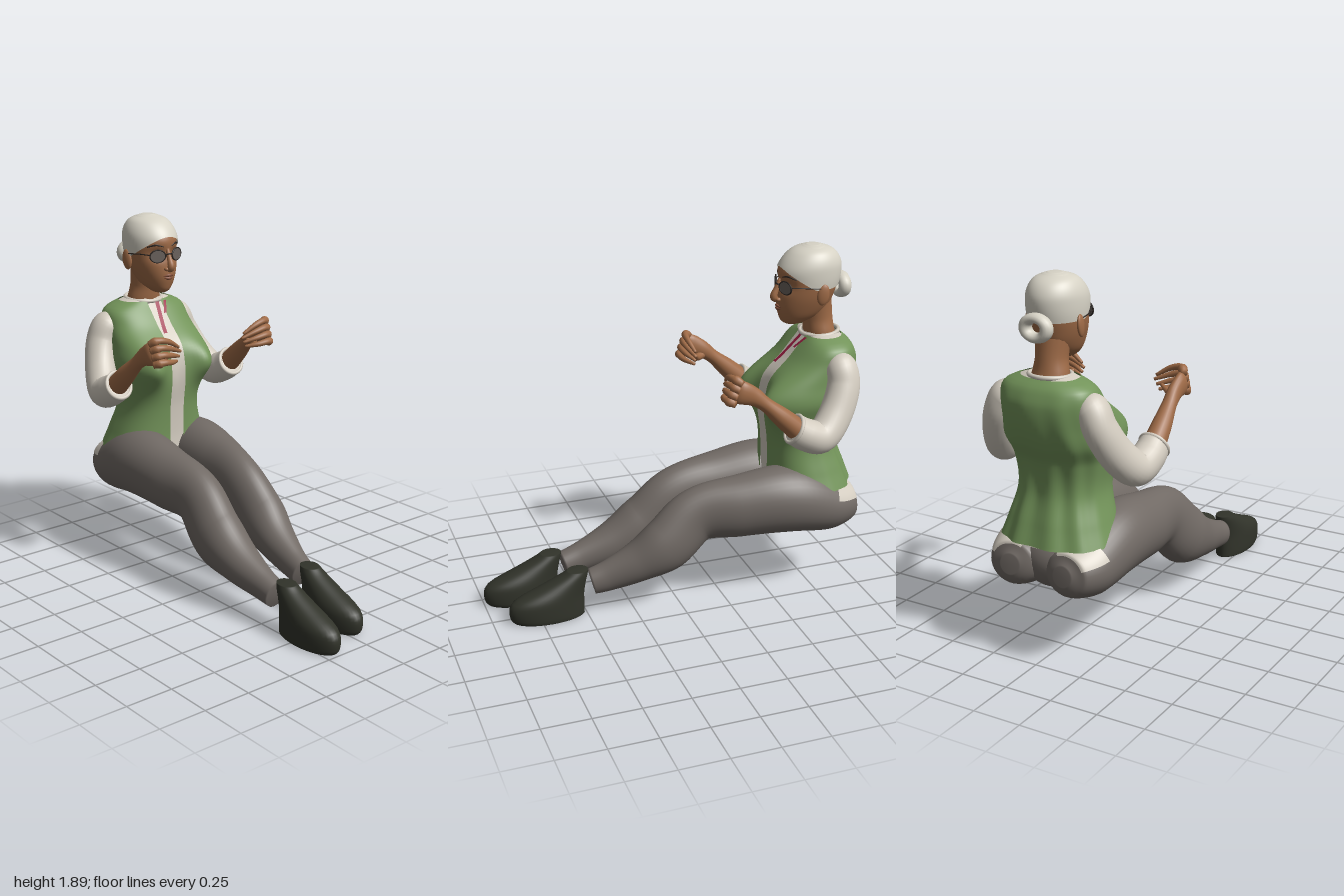
import * as THREE from 'three';
import { mergeVertices } from 'three/addons/utils/BufferGeometryUtils.js';

const mat = (name, color, side = THREE.FrontSide) => {
  const m = new THREE.MeshStandardMaterial({ color, side });
  m.name = name;
  return m;
};

// Grid surface from fn(u, v); shared corners are welded so shading stays smooth
function surface(fn, nu, nv) {
  const pos = [], idx = [];
  for (let j = 0; j <= nv; j++) for (let i = 0; i <= nu; i++) pos.push(...fn(i / nu, j / nv));
  for (let j = 0; j < nv; j++) for (let i = 0; i < nu; i++) {
    const a = j * (nu + 1) + i, b = a + 1, c = a + nu + 1, d = c + 1;
    idx.push(a, b, d, a, d, c);
  }
  let g = new THREE.BufferGeometry();
  g.setAttribute('position', new THREE.Float32BufferAttribute(pos, 3));
  g.setIndex(idx);
  g = mergeVertices(g, 1e-5);
  g.computeVertexNormals();
  return g;
}

// Smooth lookup in rows of [y, zBack, zFront, halfWidth]
function sample(tab, y) {
  let i = 0;
  while (i < tab.length - 2 && y > tab[i + 1][0]) i++;
  const h = tab[i + 1][0] - tab[i][0], t = Math.min(1, Math.max(0, (y - tab[i][0]) / h));
  const slope = (j, k) => {
    const p = tab[Math.max(0, j - 1)], q = tab[Math.min(tab.length - 1, j + 1)];
    return (q[k] - p[k]) / (q[0] - p[0]);
  };
  const t2 = t * t, t3 = t2 * t;
  return [1, 2, 3].map(k => (2 * t3 - 3 * t2 + 1) * tab[i][k] + (t3 - 2 * t2 + t) * h * slope(i, k)
    + (3 * t2 - 2 * t3) * tab[i + 1][k] + (t3 - t2) * h * slope(i + 1, k));
}

// Point on a stack of horizontal rings; angle 0 faces +z
const pw = (s, e) => Math.sign(s) * Math.abs(s) ** e;
function ringPoint(tab, a, y, off = 0, e = 1) {
  const [zb, zf, hw] = sample(tab, y);
  return [(hw + off) * pw(Math.sin(a), e), y, (zb + zf) / 2 + ((zf - zb) / 2 + off) * pw(Math.cos(a), e)];
}
function rings(tab, nu, nv, shape = p => p) {
  const y0 = tab[0][0], y1 = tab[tab.length - 1][0];
  return surface((u, v) => {
    const y = y0 + (y1 - y0) * (1 - Math.cos(Math.PI * v)) / 2;
    if (v > 0 && v < 1) return shape(ringPoint(tab, (u % 1) * Math.PI * 2, y));
    const [zb, zf] = sample(tab, y);
    return [0, y, (zb + zf) / 2];
  }, nu, nv);
}

// Skin of a limb through points [x, y, z, rx, ry]; returns (t, angle, offset) => Vector3
const RIGHT = new THREE.Vector3(1, 0, 0), UP = new THREE.Vector3(0, 1, 0);
function limbSkin(pts, ref) {
  const path = new THREE.CatmullRomCurve3(pts.map(p => new THREE.Vector3(p[0], p[1], p[2])));
  const size = new THREE.CatmullRomCurve3(pts.map(p => new THREE.Vector3(p[3], p[4] ?? p[3], 0)));
  return (t, a, off) => {
    const c = path.getPoint(t), r = size.getPoint(t), T = path.getTangent(t);
    const A = ref.clone().addScaledVector(T, -ref.dot(T)).normalize(), B = T.clone().cross(A);
    return c.addScaledVector(A, (r.x + off) * Math.cos(a)).addScaledVector(B, (r.y + off) * Math.sin(a));
  };
}
// Closed limb: the first and last rows shrink to the centre
function limb(pts, nu = 20, nv = 32, ref = RIGHT) {
  const at = limbSkin(pts, ref);
  return surface((u, v) => {
    const t = Math.min(1, Math.max(0, (v * nv - 1) / (nv - 2)));
    if (v === 0 || v === 1) return pts[v * (pts.length - 1)].slice(0, 3);
    return at(t, (u % 1) * Math.PI * 2, 0).toArray();
  }, nu, nv);
}

const TORSO = [[.6, -.972, -.53, .285], [.7, -.935, -.535, .25], [.85, -.885, -.53, .212], [1, -.895, -.515, .232],
  [1.1, -.945, -.525, .26], [1.2, -.975, -.55, .25], [1.3, -.98, -.64, .24], [1.36, -.96, -.69, .23],
  [1.39, -.94, -.715, .2], [1.41, -.915, -.73, .15], [1.425, -.9, -.74, .1]];
const HEAD = [[1.475, -.72, -.625, .03], [1.49, -.75, -.602, .05], [1.52, -.81, -.588, .078], [1.57, -.86, -.576, .102],
  [1.63, -.885, -.577, .121], [1.7, -.905, -.584, .131], [1.76, -.913, -.582, .132], [1.8, -.908, -.6, .126],
  [1.84, -.885, -.635, .107], [1.865, -.85, -.675, .08], [1.884, -.79, -.74, .025]];
const SHOE = [[0, 0, .385, .086], [.02, 0, .4, .09], [.08, 0, .405, .089], [.12, 0, .375, .085],
  [.18, -.01, .235, .07], [.23, -.022, .125, .055], [.255, -.025, .085, .045]];

// The chest is squarer than the waist and carries a bust
const square = y => .85 - .22 * Math.exp(-(((y - 1.1) / .13) ** 2));
function torsoPoint(a, y, off) {
  const p = ringPoint(TORSO, a, y, off, Math.cos(a) > 0 ? square(y) : .85);
  const bust = .09 * Math.exp(-(((Math.abs(p[0]) - .18) / .09) ** 2) - ((y - 1.1) / .11) ** 2);
  p[2] += bust * Math.max(0, Math.cos(a)) ** .4;
  return p;
}
const frontAngle = (x, y, off) => Math.asin(pw(x / (sample(TORSO, y)[2] + off), 1 / square(y)));

export function createModel() {
  const root = new THREE.Group();
  const skin = mat('skin', 0x9f6b47), hair = mat('hair', 0xd6d2c5, THREE.DoubleSide);
  const shirt = mat('shirt', 0xd2cbbf, THREE.DoubleSide), vest = mat('vest', 0x73945a, THREE.DoubleSide);
  const trousers = mat('trousers', 0x716a65), leather = mat('shoe leather', 0x31332a);
  const ribbon = mat('ribbon', 0x9c1e42, THREE.DoubleSide), frame = mat('dark frame', 0x2b2522);
  const lens = mat('lens', 0x6a625d), lip = mat('lips', 0x85503a);
  const add = (name, geo, m, x = 0, y = 0, z = 0) => {
    const o = new THREE.Mesh(geo, m);
    o.name = name;
    o.position.set(x, y, z);
    root.add(o);
    return o;
  };
  const ball = (name, m, p, s) => {
    const o = add(name, new THREE.SphereGeometry(1, 24, 16), m, ...p);
    o.scale.set(...s);
    return o;
  };

  // Shirt body and open vest with folds down the back
  add('shirtBody', surface((u, v) => torsoPoint((u % 1) * Math.PI * 2, .6 + .825 * v, 0), 64, 48), shirt);
  add('vest', surface((u, v) => {
    const y = .605 + .81 * v, off = .012, a0 = frontAngle(.045, y, off), a = a0 + u * 2 * (Math.PI - a0);
    const fold = .008 * Math.sin(11 * a + 4 * y) * Math.max(0, -Math.cos(a)) * (1 - v * v);
    return torsoPoint(a, y, off + fold);
  }, 96, 56), vest);
  const collar = add('collar', new THREE.TorusGeometry(.1, .011, 10, 40), shirt, 0, 1.418, -.82);
  collar.rotation.x = Math.PI / 2 + .06;

  // Neck ribbon: two tails lying on the chest
  for (const [x0, y0, x1, y1, w] of [[.012, 1.408, -.025, 1.26, .024], [.068, 1.408, .035, 1.35, .018]]) {
    add('neckRibbon', surface((u, v) => {
      const y = y1 + (y0 - y1) * v, x = x1 + (x0 - x1) * v + (u - .5) * w;
      return torsoPoint(frontAngle(x, y, .02), y, .02);
    }, 3, 12), ribbon);
  }

  // Head with eye sockets, neck and hair
  add('neck', limb([[0, 1.37, -.83, .1, .08], [0, 1.43, -.815, .09, .08], [0, 1.5, -.805, .077, .08], [0, 1.6, -.79, .085, .085]]), skin);
  add('head', rings(HEAD, 64, 48, ([x, y, z]) => {
    const socket = z > -.75 ? Math.exp(-(((Math.abs(x) - .055) / .035) ** 2) - ((y - 1.69) / .03) ** 2) : 0;
    return [x, y, z - .02 * socket];
  }), skin);
  add('hairCap', surface((u, v) => {
    const a = (u % 1) * Math.PI * 2, y0 = 1.675 + .108 * Math.max(0, Math.cos(a)) ** 1.3;
    const y = y0 + (1.884 - y0) * Math.sin(v * Math.PI / 2), p = ringPoint(HEAD, a, y, v === 1 ? -.03 : .007);
    p[1] += .004 * v;
    return p;
  }, 56, 24), hair);
  ball('crown', hair, [0, 1.87, -.765], [.07, .018, .07]);
  const bun = add('hairBun', new THREE.TorusGeometry(.058, .03, 14, 32), hair, 0, 1.658, -.93);
  bun.scale.set(1, .8, 1.15);

  // Face
  add('nose', limb([[0, 1.72, -.588, .01], [0, 1.67, -.57, .014], [0, 1.625, -.555, .02], [0, 1.605, -.575, .014]], 14, 16), skin);
  add('upperLip', limb([[-.036, 1.571, -.59, .004], [0, 1.578, -.574, .008], [.036, 1.571, -.59, .004]], 8, 14, UP), lip);
  add('lowerLip', limb([[-.032, 1.566, -.59, .004], [0, 1.561, -.576, .009], [.032, 1.566, -.59, .004]], 8, 14, UP), lip);
  add('glassesBridge', limb([[-.02, 1.69, -.578, .004], [0, 1.697, -.566, .004], [.02, 1.69, -.578, .004]], 8, 8, UP), frame);

  for (const s of [1, -1]) {
    const side = s > 0 ? 'left' : 'right';
    const M = pts => pts.map(([x, ...r]) => [s * x, ...r]);
    ball(side + 'Nostril', skin, [s * .017, 1.613, -.575], [.013, .011, .016]);
    ball(side + 'Ear', skin, [s * .137, 1.652, -.77], [.014, .055, .032]).rotation.set(-.15, s * -.2, 0);
    for (const [n, g, m] of [['GlassesRim', new THREE.TorusGeometry(.043, .0042, 8, 32), frame],
      ['Lens', new THREE.CylinderGeometry(.042, .042, .004, 32).rotateX(Math.PI / 2), lens]]) {
      const o = add(side + n, g, m, s * .062, 1.685, -.591);
      o.rotation.y = s * .38;
      o.scale.y = .78;
    }
    add(side + 'GlassesArm', limb(M([[.103, 1.693, -.608, .003], [.128, 1.695, -.66, .003], [.139, 1.685, -.76, .003]]), 8, 12, UP), frame);
    add(side + 'Eyebrow', limb(M([[.025, 1.733, -.588, .003], [.062, 1.744, -.602, .005], [.1, 1.732, -.636, .003]]), 8, 12, UP), frame);

    // Arm: sleeve, cuff, forearm with palm, fingers and thumb
    add(side + 'Sleeve', limb(M([[.18, 1.31, -.83, .05, .05], [.235, 1.285, -.838, .08, .085], [.277, 1.2, -.838, .08, .088], [.33, 1.06, -.77, .082, .09],
      [.372, .977, -.675, .084, .088], [.382, 1.005, -.585, .083, .084], [.382, 1.045, -.52, .075, .08]]), 28, 44), shirt);
    const cuff = add(side + 'Cuff', new THREE.TorusGeometry(.073, .01, 10, 32), shirt, s * .382, 1.045, -.522);
    cuff.rotation.x = -.5;
    add(side + 'Forearm', limb(M([[.384, 1.02, -.56, .06, .06], [.38, 1.12, -.45, .05, .05], [.372, 1.2, -.36, .037, .037],
      [.368, 1.245, -.3, .034, .048], [.37, 1.275, -.235, .03, .06], [.362, 1.287, -.2, .015, .045]]), 20, 36), skin);
    for (let i = 0; i < 4; i++) {
      add(side + 'Finger' + (i + 1), limb(M([[.385, 1.325 - .034 * i, -.235 + .012 * i, .018], [.35, 1.345 - .036 * i, -.2 + .012 * i, .018],
        [.29, 1.332 - .034 * i, -.195 + .008 * i, .015], [.205 + .012 * Math.abs(i - 1), 1.29 - .024 * i, -.21, .008]]), 12, 20, UP), skin);
    }
    add(side + 'Thumb', limb(M([[.365, 1.22, -.31, .024], [.325, 1.218, -.26, .02], [.255, 1.25, -.225, .009]]), 12, 16, UP), skin);
  }

  // Legs, with the shirt tail showing over each hip
  const legs = {
    right: [[-.148, .49, -.985, .05, .05], [-.15, .487, -.955, .118, .107], [-.168, .49, -.83, .162, .15], [-.187, .55, -.6, .172, .185], [-.195, .53, -.33, .145, .172],
      [-.19, .492, -.09, .115, .158], [-.203, .338, .09, .124, .162], [-.205, .248, .28, .105, .115], [-.203, .19, .46, .072, .083], [-.2, .165, .555, .064, .072]],
    left: [[.148, .49, -.985, .05, .05], [.15, .487, -.955, .118, .107], [.165, .49, -.83, .16, .15], [.172, .55, -.6, .17, .185], [.145, .535, -.33, .14, .172],
      [.108, .5, -.1, .108, .155], [.112, .36, .07, .116, .152], [.092, .272, .22, .1, .113], [.07, .205, .38, .07, .085], [.058, .18, .47, .062, .072]],
  };
  for (const [side, pts] of Object.entries(legs)) {
    add(side + 'TrouserLeg', limb(pts, 36, 80), trousers);
    const at = limbSkin(pts, RIGHT), s = side === 'left' ? 1 : -1;
    add(side + 'ShirtTail', surface((u, v) => {
      const a = .42 + 1.6 * u;
      return at(.085 + .15 * v, s > 0 ? a : Math.PI - a, .004).toArray();
    }, 20, 14), shirt);
  }
  ball('trouserSeat', trousers, [0, .5, -.79], [.2, .155, .165]);

  // Shoes
  add('rightShoe', rings(SHOE, 36, 24), leather, -.193, 0, .593);
  add('leftShoe', rings(SHOE, 36, 24), leather, .038, 0, .508);
  return root;
}
